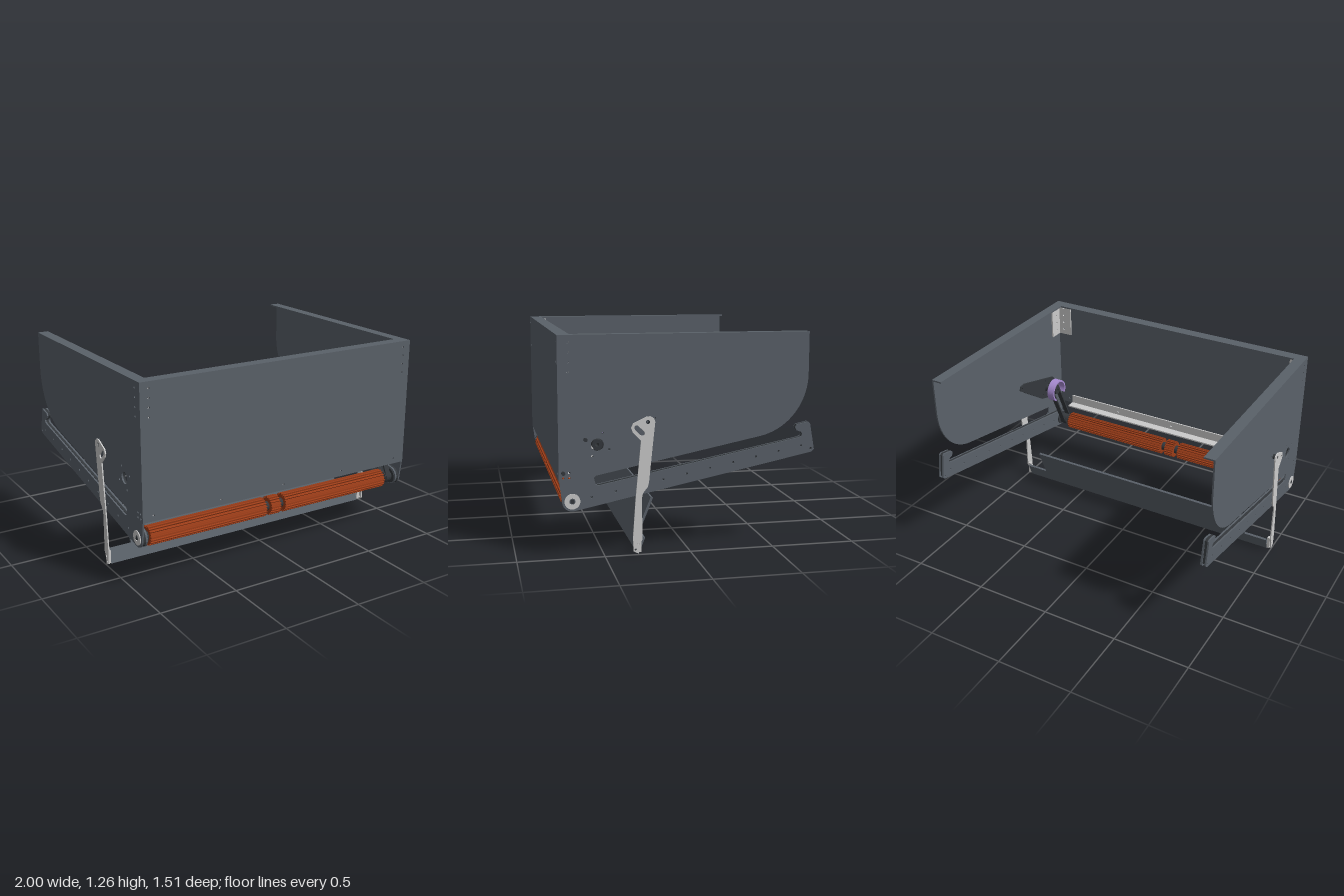
import * as THREE from 'three';

const material = (color) => new THREE.MeshStandardMaterial({ color, side: THREE.DoubleSide });

export function createModel() {
  const model = new THREE.Group();
  const steel = material(0x5a6169), dark = material(0x34383c), light = material(0xcccccc);
  const rust = material(0x9a3c18), purple = material(0xa88cd2);

  function add(name, geometry, mat) {
    const mesh = new THREE.Mesh(geometry, mat);
    mesh.name = name;
    model.add(mesh);
    return mesh;
  }
  function box(name, x0, x1, y0, y1, z0, z1, mat) {
    add(name, new THREE.BoxGeometry(x1 - x0, y1 - y0, z1 - z0), mat)
      .position.set((x0 + x1) / 2, (y0 + y1) / 2, (z0 + z1) / 2);
  }
  // Rod along x
  function rod(name, x0, x1, z, y, r, mat) {
    const g = new THREE.CylinderGeometry(r, r, Math.abs(x1 - x0), 24).rotateZ(Math.PI / 2);
    add(name, g, mat).position.set((x0 + x1) / 2, y, z);
  }
  // Outline with holes; a hole is [u, v, radius] or a list of points
  function extrude(pts, holes, depth, flip = 1) {
    const toVec = ([u, v]) => new THREE.Vector2(u * flip, v);
    const shape = new THREE.Shape(pts.map(toVec));
    for (const h of holes) {
      if (Array.isArray(h[0])) shape.holes.push(new THREE.Path(h.map(toVec)));
      else shape.holes.push(new THREE.Path().absarc(h[0] * flip, h[1], h[2], 0, Math.PI * 2));
    }
    return new THREE.ExtrudeGeometry(shape, { depth, bevelEnabled: false, curveSegments: 8 });
  }
  // Plate drawn in (z, y), filling x0..x1
  function sidePlate(name, pts, holes, x0, x1, mat) {
    add(name, extrude(pts, holes, x1 - x0, -1).rotateY(Math.PI / 2), mat).position.x = x0;
  }
  // Plate drawn in (x, y), filling z0..z1
  function frontPlate(name, pts, holes, z0, z1, mat) {
    add(name, extrude(pts, holes, z1 - z0), mat).position.z = z0;
  }
  const rect = (u0, u1, v0, v1) => [[u0, v0], [u1, v0], [u1, v1], [u0, v1]];
  const arc = (u, v, r, a0, a1, n = 10) => Array.from({ length: n + 1 }, (_, i) => {
    const a = a0 + (a1 - a0) * i / n;
    return [u + r * Math.cos(a), v + r * Math.sin(a)];
  });
  const stadium = (a, b, r) => {
    const t = Math.atan2(b[1] - a[1], b[0] - a[0]), q = Math.PI / 2;
    return [...arc(...a, r, t + q, t + 3 * q), ...arc(...b, r, t - q, t + q)];
  };

  const motor = [0.535, 0.645], axle = [0.68, 0.325];
  const cornerYs = [1.06, 1.115, 1.17, 1.225];
  const hole = (u, v) => [u, v, 0.007];

  // Outlines of the side plates and their rear arms
  const curve = new THREE.CubicBezierCurve(
    new THREE.Vector2(-0.71, 1.02), new THREE.Vector2(-0.71, 0.846),
    new THREE.Vector2(-0.591, 0.694), new THREE.Vector2(-0.42, 0.66)
  ).getPoints(18).map((p) => [p.x, p.y]);
  const hook = [[-0.655, 0.642], [-0.675, 0.65], [-0.68, 0.663], [-0.672, 0.677], [-0.645, 0.685],
    [-0.635, 0.705], [-0.645, 0.72], [-0.715, 0.735], [-0.727, 0.725], [-0.755, 0.57], [-0.74, 0.555]];
  const nose = arc(...axle, 0.058, -1.77, 0);
  const plateOutline = [[0.755, 1.265], [-0.71, 1.265], ...curve,
    [0.545, 0.468], [0.556, 0.455], [0.546, 0.417], [0.53, 0.41], ...hook, ...nose, [0.755, 0.455]];
  const armNose = arc(...axle, 0.058, -1.77, 1.37);
  const armOutline = [...hook, ...armNose];
  const teeth = [];
  for (let i = 0; i < 56; i++) {
    const z = -0.72 + i * 0.024, y = 0.56 - i * 0.0049;
    teeth.push([z, y], [z + 0.01, y - 0.002], [z + 0.012, y + 0.012], [z + 0.022, y + 0.01]);
  }
  const armHoles = [hole(-0.735, 0.575)];
  for (let i = 0; i < 10; i++) armHoles.push(hole(0.57 - i * 0.1383, 0.345 + i * 0.0277));
  const motorHoles = [[...motor, 0.037],
    ...[[0.505, 0.712], [0.467, 0.617], [0.565, 0.58], [0.602, 0.677], [0.205, 0.787]].map((p) => hole(...p))];
  const plateHoles = [...armHoles, ...motorHoles, ...cornerYs.map((y) => hole(0.695, y)),
    hole(0.73, 0.49), hole(0.73, 0.46), hole(0.695, 0.49), hole(0.695, 0.46)];

  const gusset = [[0.185, 0.775], [0.2, 0.805], [0.24, 0.81], [0.61, 0.705], [0.63, 0.68],
    [0.585, 0.57], [0.56, 0.555], [0.45, 0.59]];
  const lever = [[0.335, 0.765], [0.26, 0.8], [0.235, 0.802], [0.215, 0.79], [0.208, 0.77], [0.218, 0.68],
    [0.245, 0.42], [0.252, 0.395], [0.28, 0.36], [0.286, 0.33], [0.283, 0.09], [0.298, 0.06],
    [0.305, 0.005], [0.335, 0.02], [0.338, 0.1], [0.322, 0.33], [0.29, 0.665], [0.338, 0.715], [0.347, 0.74]];
  const leverHoles = [[0.25, 0.77, 0.012], stadium([0.315, 0.74], [0.282, 0.706], 0.014),
    hole(0.308, 0.063), hole(0.322, 0.03)];

  // Parts found on both sides
  for (const s of [1, -1]) {
    const side = s > 0 ? 'left' : 'right';
    const both = (name, pts, holes, a, b, mat) =>
      sidePlate(side + name, pts, holes, Math.min(s * a, s * b), Math.max(s * a, s * b), mat);
    const sbox = (name, a, b, ...rest) => box(side + name, Math.min(s * a, s * b), Math.max(s * a, s * b), ...rest);
    both('SidePlate', plateOutline, plateHoles, 0.96, 0.97, steel);
    both('ArmInnerPlate', armOutline, armHoles, 0.932, 0.944, steel);
    both('ToothedBelt', [...hook.slice(0, 9), [-0.745, 0.575], ...teeth, ...armNose.slice(3)], armHoles, 0.944, 0.96, dark);
    both('Gusset', gusset, motorHoles, 0.948, 0.96, dark);
    sbox('TopFlange', 0.9, 0.97, 1.255, 1.265, -0.71, 0.745, steel);
    both('BracketSideLeg', rect(0.64, 0.745, 1.02, 1.25), cornerYs.map((y) => hole(0.695, y)), 0.95, 0.96, light);
    const bx = [s * 0.855, s * 0.95].sort((a, b) => a - b);
    frontPlate(side + 'BracketFrontLeg', rect(...bx, 1.02, 1.25), cornerYs.map((y) => hole(s * 0.915, y)), 0.735, 0.745, light);

    // Swinging lever carrying the blade
    both('Lever', lever, leverHoles, 0.992, 1, light);
    sbox('LeverFoot', 0.972, 0.992, 0.012, 0.095, 0.288, 0.312, light);
    both('LeverPivot', arc(0.25, 0.77, 0.016, 0, Math.PI * 2, 20), [[0.25, 0.77, 0.009]], 0.96, 0.998, dark);

    // Wheel at the end of the roller shaft
    rod(side + 'AxleWheel', s * 0.925, s * 0.965, ...axle, 0.05, dark);
    both('AxleWasher', arc(...axle, 0.045, 0, Math.PI * 2, 28), [[...axle, 0.018]], 0.965, 0.975, light);
    rod(side + 'AxleBolt', s * 0.93, s * 0.977, ...axle, 0.012, dark);
  }

  // Front wall, its flange and the lower stiffener
  const railHoles = [-0.9, -0.45, 0, 0.45].map((x) => hole(x, 0.475));
  frontPlate('frontPanel', rect(-0.97, 0.97, 0.44, 1.265),
    [...railHoles, hole(0.89, 0.475), ...cornerYs.flatMap((y) => [hole(0.915, y), hole(-0.915, y)])], 0.745, 0.755, steel);
  box('frontTopFlange', -0.97, 0.97, 1.255, 1.265, 0.68, 0.75, steel);
  frontPlate('stiffener', rect(-0.92, 0.86, 0.44, 0.51), railHoles, 0.735, 0.745, light);
  box('stiffenerLip', -0.92, 0.86, 0.44, 0.45, 0.675, 0.735, light);

  // Ribbed roller in three sections
  const ribs = [];
  const ribCount = 20;
  for (let i = 0; i < ribCount; i++) {
    [[0, 0.06], [0.45, 0.06], [0.55, 0.05], [0.9, 0.05]].forEach(([f, r]) => {
      const a = (i + f) / ribCount * Math.PI * 2;
      ribs.push([axle[0] + r * Math.cos(a), axle[1] + r * Math.sin(a)]);
    });
  }
  for (const [a, b] of [[-0.91, -0.105], [-0.07, 0], [0.035, 0.84]])
    sidePlate('rollerSection', ribs, [], a, b, rust);
  rod('rollerShaft', -0.95, 0.95, ...axle, 0.03, dark);

  // Drive motor, belt and shroud
  sidePlate('motorHub', arc(...motor, 0.03, 0, Math.PI * 2, 24), [[...motor, 0.011]], 0.86, 0.968, dark);
  sidePlate('driveBelt', stadium(motor, axle, 0.04), [stadium(motor, axle, 0.03)], 0.872, 0.908, dark);
  rod('drivePulley', 0.865, 0.915, ...axle, 0.038, dark);
  sidePlate('motorShroud', [...arc(...motor, 0.082, -0.5, 4.1, 36), ...arc(...motor, 0.07, 4.1, -0.5, 36)], [], 0.845, 0.9, purple);
  rod('sideBolt', 0.955, 0.985, 0.602, 0.677, 0.011, dark);
  rod('sideBolt', 0.955, 0.985, 0.73, 0.49, 0.011, dark);

  // Tilted blade with notched ends
  const blade = add('blade', extrude([[-0.972, 0], [0.972, 0], [0.972, 0.097], [0.815, 0.097],
    [0.815, 0.305], [-0.815, 0.305], [-0.815, 0.097], [-0.972, 0.097]], [], 0.015), steel);
  blade.rotation.x = -0.383;
  blade.position.z = 0.298;

  return model;
}
